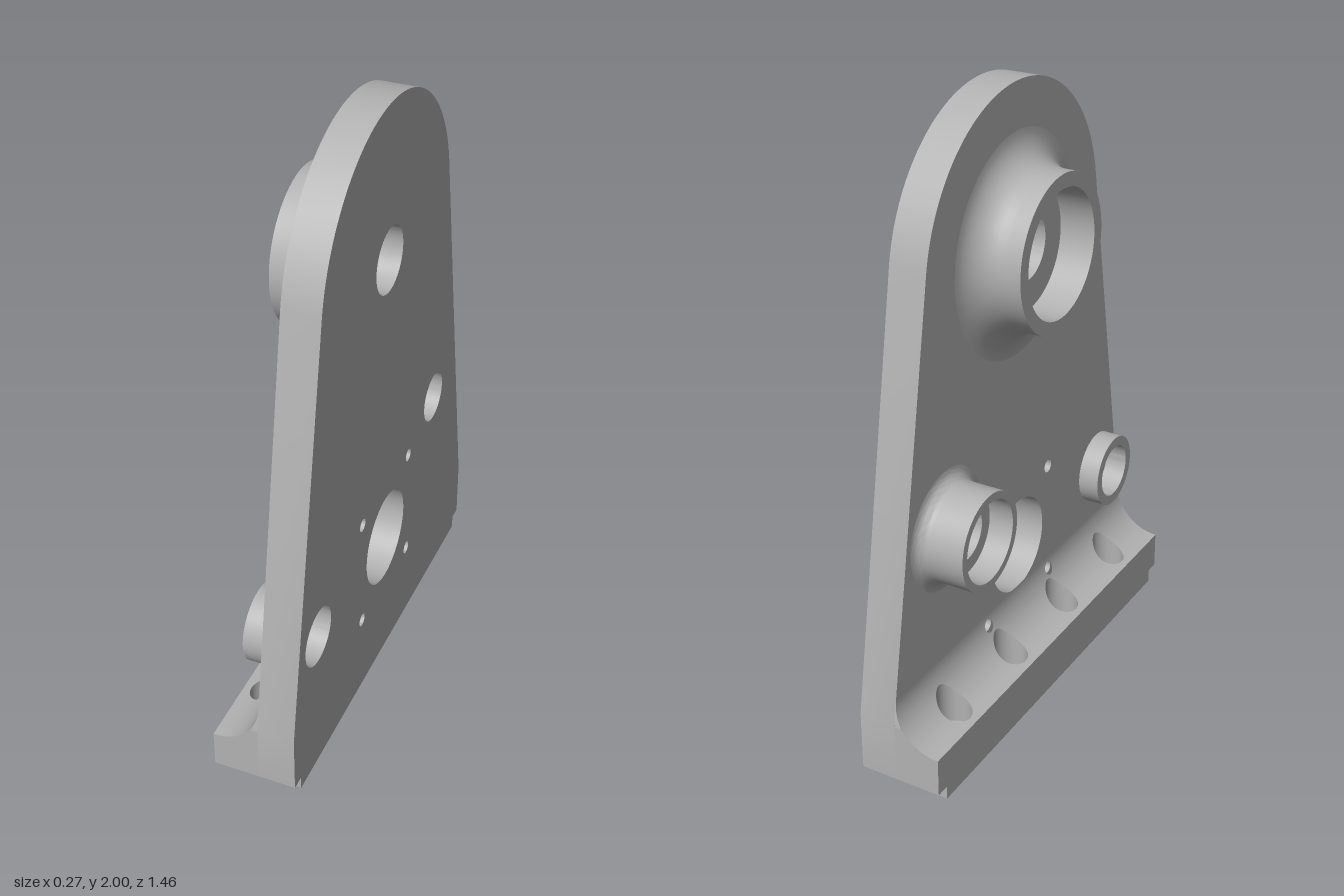
import * as THREE from 'three';
import { toCreasedNormals } from 'three/addons/utils/BufferGeometryUtils.js';

const BACK = -0.135, FACE = 0.015, FRONT = 0.135; // x of foot rear, plate rear, plate front
const HALF = 0.73, STEP = 0.045, FLOOR = 0.1;     // foot half length, base step, counterbore floor
const R = 0.15, ARC_Y = 0.32;                     // foot fillet radius and arc centre height
const S_SPLIT = 1.123;                            // arc angle where the upper fillet strip starts
const BOLT_X = -0.056, BOLT_Z = [-0.51, -0.17, 0.17, 0.51];

// half width of the plate at a height on its straight sides
const halfWidth = (y) => HALF - Math.max(0, y - 0.24) * 0.1765;
const filletX = (s) => BACK + R * Math.sin(s);
const filletY = (s) => ARC_Y - R * Math.cos(s);

function circle(u, v, r) {
  return new THREE.Path().absarc(u, v, r, 0, Math.PI * 2, true);
}

// exact normals for surfaces lying on the foot fillet
function filletNormals(geo) {
  const p = geo.attributes.position;
  const n = new Float32Array(p.count * 3);
  for (let i = 0; i < p.count; i++) {
    n[i * 3] = (BACK - p.getX(i)) / R;
    n[i * 3 + 1] = (ARC_Y - p.getY(i)) / R;
  }
  geo.setAttribute('normal', new THREE.BufferAttribute(n, 3));
  return geo;
}

// grid of rows of points joined into a surface
function loft(rows) {
  const pos = [], idx = [], w = rows[0].length;
  rows.forEach((row) => row.forEach((p) => pos.push(...p)));
  for (let j = 0; j < rows.length - 1; j++) {
    for (let i = 0; i < w - 1; i++) {
      const a = j * w + i, b = a + w;
      idx.push(a, a + 1, b, a + 1, b + 1, b);
    }
  }
  const geo = new THREE.BufferGeometry();
  geo.setAttribute('position', new THREE.Float32BufferAttribute(pos, 3));
  geo.setIndex(idx);
  geo.computeVertexNormals();
  return geo;
}

export function createModel() {
  const group = new THREE.Group();
  const grey = new THREE.MeshStandardMaterial({ color: 0xb2b2b2, side: THREE.DoubleSide });
  grey.name = 'grey metal';
  const add = (name, geo, parent = group) => {
    const mesh = new THREE.Mesh(geo, grey);
    mesh.name = name;
    parent.add(mesh);
    return mesh;
  };

  // upright plate, drawn in (-z, y)
  const outline = new THREE.Shape();
  outline.moveTo(-0.685, 0);
  outline.lineTo(0.685, 0);
  outline.lineTo(0.685, STEP);
  outline.lineTo(HALF, STEP);
  outline.lineTo(HALF, 0.24);
  outline.absarc(0, 1.5, 0.5, 0.173, Math.PI - 0.173, false);
  outline.lineTo(-HALF, 0.24);
  outline.lineTo(-HALF, STEP);
  outline.lineTo(-0.685, STEP);
  outline.closePath();
  outline.holes.push(circle(0, 1.505, 0.105), circle(0.42, 0.755, 0.085),
    circle(-0.54, 0.505, 0.095), circle(0, 0.475, 0.16));
  for (const u of [-0.195, 0.195]) {
    for (const v of [0.28, 0.67]) outline.holes.push(circle(u, v, 0.022));
  }
  const plate = new THREE.ExtrudeGeometry(outline, { depth: FRONT - FACE, bevelEnabled: false, curveSegments: 32 });
  plate.rotateY(Math.PI / 2).translate(FACE, 0, 0);
  add('plate', toCreasedNormals(plate, 0.5));

  // turned bosses: profile of [radius, x]
  const boss = (name, y, z, profile) => {
    const geo = new THREE.LatheGeometry(profile.map(([r, x]) => new THREE.Vector2(r, x)), 64);
    geo.rotateZ(-Math.PI / 2);
    add(name, toCreasedNormals(geo, 0.5)).position.set(0, y, z);
  };
  const filletedProfile = (hole, bore, outer, floor, f) => {
    const pts = [[hole, FACE], [hole, floor], [bore, floor], [bore, BACK], [outer, BACK]];
    for (let i = 0; i <= 10; i++) {
      const a = (i / 10) * Math.PI / 2;
      pts.push([outer + f * (1 - Math.cos(a)), FACE - f + f * Math.sin(a)]);
    }
    return pts;
  };
  boss('upperBoss', 1.505, 0, filletedProfile(0.105, 0.2, 0.245, -0.02, 0.105));
  boss('middleBoss', 0.755, -0.42, filletedProfile(0.085, 0.13, 0.155, -0.055, 0.04));
  boss('smallBoss', 0.505, 0.54, [[0.095, 0.06], [0.035, 0.06], [0.035, 0.02], [0.09, 0.02],
    [0.09, -0.055], [0.123, -0.055], [0.123, FACE]]);

  // foot
  const foot = new THREE.Group();
  foot.name = 'foot';
  group.add(foot);

  // drilled slabs: base step and the layer up to the counterbore floors
  const slab = (name, half, y0, y1) => {
    const s = new THREE.Shape();
    s.moveTo(BACK, -half);
    s.lineTo(FACE, -half);
    s.lineTo(FACE, half);
    s.lineTo(BACK, half);
    s.closePath();
    for (const z of BOLT_Z) s.holes.push(circle(BOLT_X, z, 0.038));
    const geo = new THREE.ExtrudeGeometry(s, { depth: y1 - y0, bevelEnabled: false, curveSegments: 16 });
    geo.rotateX(-Math.PI / 2).translate(0, y0, 0);
    add(name, toCreasedNormals(geo, 0.5), foot);
  };
  slab('footStep', 0.685, 0, STEP);
  slab('footBase', HALF, STEP, FLOOR);

  // rear wall above the slabs
  const rear = new THREE.PlaneGeometry(2 * HALF, 0.17 - FLOOR);
  rear.rotateY(-Math.PI / 2).translate(BACK, (0.17 + FLOOR) / 2, 0);
  add('footRear', rear, foot);

  // end faces following the fillet and the plate's sloping sides
  for (const side of [-1, 1]) {
    const rows = [[[BACK, FLOOR, side * HALF], [FACE, FLOOR, side * HALF]]];
    for (let i = 0; i <= 16; i++) {
      const s = (i / 16) * Math.PI / 2, y = filletY(s), z = side * halfWidth(y);
      rows.push([[filletX(s), y, z], [FACE, y, z]]);
    }
    if (side < 0) rows.forEach((r) => r.reverse());
    add('footEnd', toCreasedNormals(loft(rows), 0.1), foot);
  }

  // fillet cells, each wrapped around one counterbore
  const K = 64, RINGS = 8, BORE = 0.055;
  const edges = [-HALF, -0.34, 0, 0.34, HALF];
  BOLT_Z.forEach((zc, c) => {
    const rows = Array.from({ length: RINGS + 1 }, () => []);
    const wall = [[], []];
    for (let k = 0; k <= K; k++) {
      const a = (k / K) * Math.PI * 2, dz = Math.cos(a), dx = Math.sin(a);
      const m = Math.max(Math.abs(dz), Math.abs(dx));
      const z0 = zc + BORE * dz, x0 = BOLT_X + BORE * dx;
      const s0 = Math.asin((x0 - BACK) / R);
      const z1 = THREE.MathUtils.lerp(edges[c], edges[c + 1], (dz / m + 1) / 2);
      const s1 = S_SPLIT * (dx / m + 1) / 2;
      for (let j = 0; j <= RINGS; j++) {
        const t = j / RINGS, s = s0 + (s1 - s0) * t, y = filletY(s), w = halfWidth(y);
        rows[j].push([filletX(s), y, THREE.MathUtils.clamp(z0 + (z1 - z0) * t, -w, w)]);
      }
      wall[0].push([x0, FLOOR, z0]);
      wall[1].push([x0, filletY(s0), z0]);
    }
    add('footFillet', filletNormals(loft(rows)), foot);
    add('counterbore', loft(wall), foot);
  });

  // upper strip of the fillet, pierced by the two lower pin holes
  const strip = new THREE.Shape(), ys = [];
  for (let i = 0; i <= 6; i++) ys.push(filletY(S_SPLIT + (Math.PI / 2 - S_SPLIT) * i / 6));
  ys.forEach((y, i) => (i ? strip.lineTo(halfWidth(y), y) : strip.moveTo(halfWidth(y), y)));
  ys.reverse().forEach((y) => strip.lineTo(-halfWidth(y), y));
  for (const u of [-0.195, 0.195]) strip.holes.push(circle(u, 0.28, 0.022));
  const upper = new THREE.ShapeGeometry(strip, 16).rotateY(-Math.PI / 2);
  const p = upper.attributes.position;
  for (let i = 0; i < p.count; i++) {
    const d = ARC_Y - p.getY(i);
    p.setX(i, BACK + Math.sqrt(R * R - d * d));
  }
  add('footFilletTop', filletNormals(upper), foot);

  return group;
}
